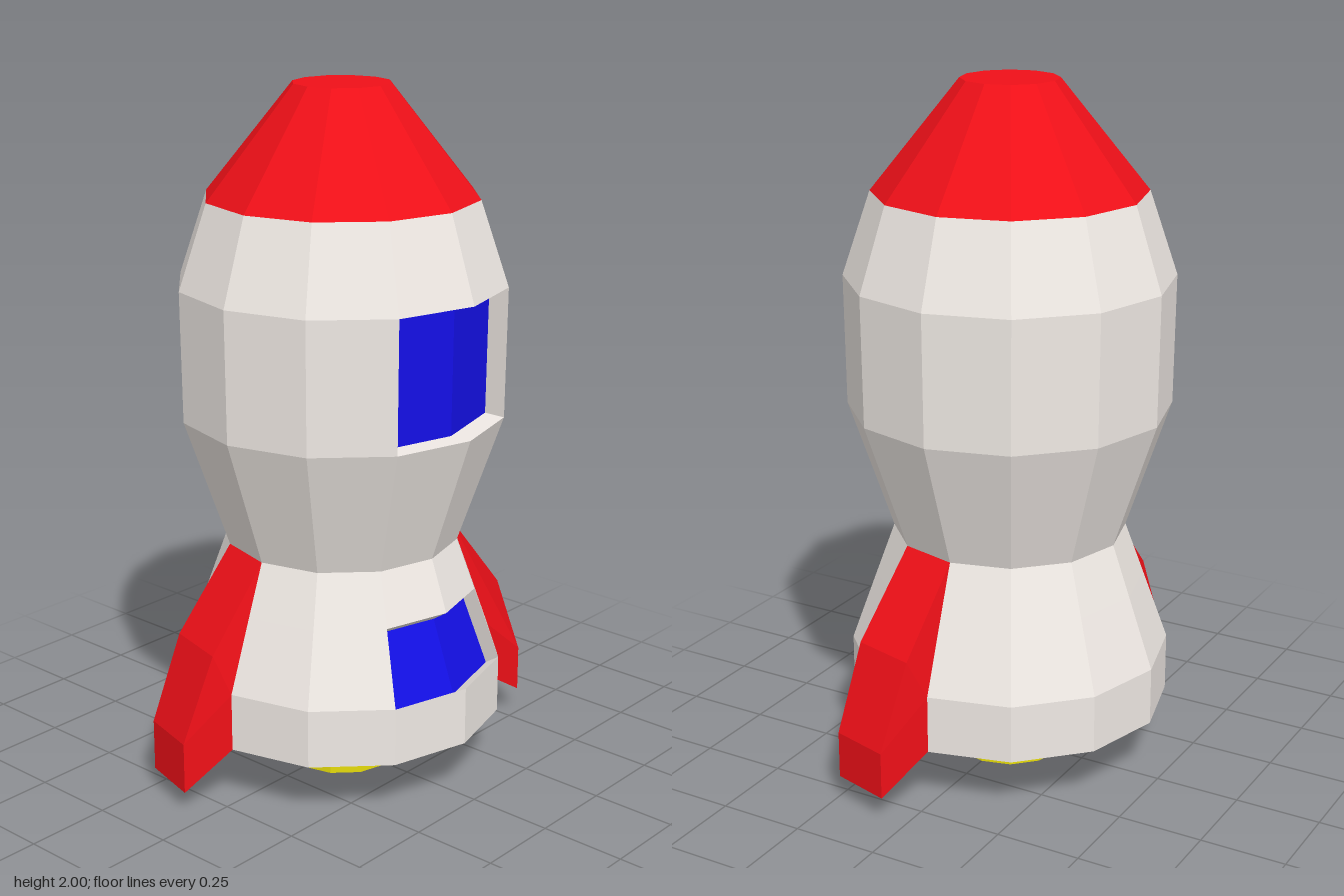
import * as THREE from 'three';

const SIDES = 12;
const mat = (color) => new THREE.MeshStandardMaterial({ color, flatShading: true });

// Point on a ring: angle index 0 is +x, index 3 is +z
const ring = (r, y, i) => {
  const a = (i * Math.PI * 2) / SIDES;
  return [r * Math.cos(a), y, r * Math.sin(a)];
};

// Mesh from four-cornered faces, corners anticlockwise from outside
function quadMesh(name, quads, material) {
  const pos = [];
  for (const [a, b, c, d] of quads) pos.push(...a, ...b, ...c, ...a, ...c, ...d);
  const g = new THREE.BufferGeometry();
  g.setAttribute('position', new THREE.Float32BufferAttribute(pos, 3));
  g.computeVertexNormals();
  const m = new THREE.Mesh(g, material);
  m.name = name;
  return m;
}

// Faces between successive [radius, y] rings, leaving out chosen panels
function loft(profile, skip = () => false) {
  const quads = [];
  for (let k = 0; k < profile.length - 1; k++) {
    const [r0, y0] = profile[k], [r1, y1] = profile[k + 1];
    for (let i = 0; i < SIDES; i++) {
      if (skip(k, i)) continue;
      quads.push([ring(r0, y0, i), ring(r1, y1, i), ring(r1, y1, i + 1), ring(r0, y0, i + 1)]);
    }
  }
  return quads;
}

export function createModel() {
  const model = new THREE.Group();
  model.name = 'rocket';
  const hull = mat(0xf0eae5), red = mat(0xf01018), blue = mat(0x1410ea), yellow = mat(0xe6dc0a);

  const rocket = new THREE.Group();
  rocket.name = 'rocketParts';
  rocket.position.z = 0.007;
  model.add(rocket);

  // Hull shell with two openings on the +x side
  const outer = [[0.467, 0.17], [0.467, 0.34], [0.392, 0.55], [0.338, 0.7],
    [0.465, 1.075], [0.469, 1.45], [0.388, 1.69]];
  const openRows = [1, 4];
  rocket.add(quadMesh('hull',
    loft(outer, (k, i) => openRows.includes(k) && (i === 0 || i === SIDES - 1)), hull));

  // Hollow skirt: bottom rim, inner wall and its ceiling
  rocket.add(quadMesh('skirtInside',
    loft([[0, 0.66], [0.28, 0.66], [0.41, 0.3], [0.41, 0.17], [0.467, 0.17]]), hull));

  // Recessed windows: frame walls and two panes each
  const window = (name, row, dx, dy) => {
    const [lo, hi] = [outer[row], outer[row + 1]];
    const B = (i) => ring(...lo, i), T = (i) => ring(...hi, i);
    const loop = [B(-1), T(-1), T(0), T(1), B(1), B(0)];
    const inset = loop.map(([x, y, z]) => [x + dx, y + dy, z]);
    const walls = loop.map((p, i) => {
      const j = (i + 1) % loop.length;
      return [p, loop[j], inset[j], inset[i]];
    });
    const [b0, t0, t1, t2, b2, b1] = inset;
    rocket.add(quadMesh(name + 'Frame', walls, hull));
    rocket.add(quadMesh(name + 'Glass', [[b0, t0, t1, b1], [b1, t1, t2, b2]], blue));
  };
  window('lowerWindow', 1, -0.045, -0.03);
  window('upperWindow', 4, -0.067, 0);

  // Nose cone and stepped engine
  const drum = (name, rTop, rBottom, y0, y1, material) => {
    const m = new THREE.Mesh(new THREE.CylinderGeometry(rTop, rBottom, y1 - y0, SIDES), material);
    m.name = name;
    m.position.y = (y0 + y1) / 2;
    rocket.add(m);
  };
  drum('noseCone', 0.138, 0.388, 1.69, 2, red);
  [[0.3, 0.14, 0.34], [0.24, 0.07, 0.14], [0.2, 0.035, 0.07]].forEach(([r, y0, y1], i) =>
    drum('engineStep' + (i + 1), r, r, y0, y1, red));
  drum('exhaust', 0.17, 0.17, 0, 0.035, yellow);

  // Swept fins growing out of one hull panel, front and back
  const fin = (name, turn, reach, foot) => {
    // Left and right side outlines: hull points down, then tip points up
    const side = (i, tip) => [
      ring(0.338, 0.7, i), ring(0.467, 0.34, i), ring(0.467, 0.17, i),
      ...tip.map(([x, y, z]) => [x, y, z + reach])];
    const L = side(4, [[-0.24, foot, 0.545], [-0.24, 0.21, 0.545], [-0.218, 0.46, 0.455]]);
    const R = side(3, [[-0.067, foot, 0.593], [-0.067, 0.21, 0.593], [-0.033, 0.46, 0.505]]);
    const quads = [];
    // Underside, tip, and sloping outer faces
    for (let k = 2; k < 6; k++) {
      const n = (k + 1) % 6;
      quads.push([L[k], R[k], R[n], L[n]]);
    }
    // Side cheeks
    for (const [a, b, c, d] of [[0, 1, 4, 5], [1, 2, 3, 4]]) {
      quads.push([L[a], L[b], L[c], L[d]], [R[d], R[c], R[b], R[a]]);
    }
    const m = quadMesh(name, quads, red);
    m.rotation.y = turn;
    rocket.add(m);
  };
  fin('frontFin', 0, 0, 0.06);
  fin('backFin', Math.PI, 0.014, 0.072);

  return model;
}
